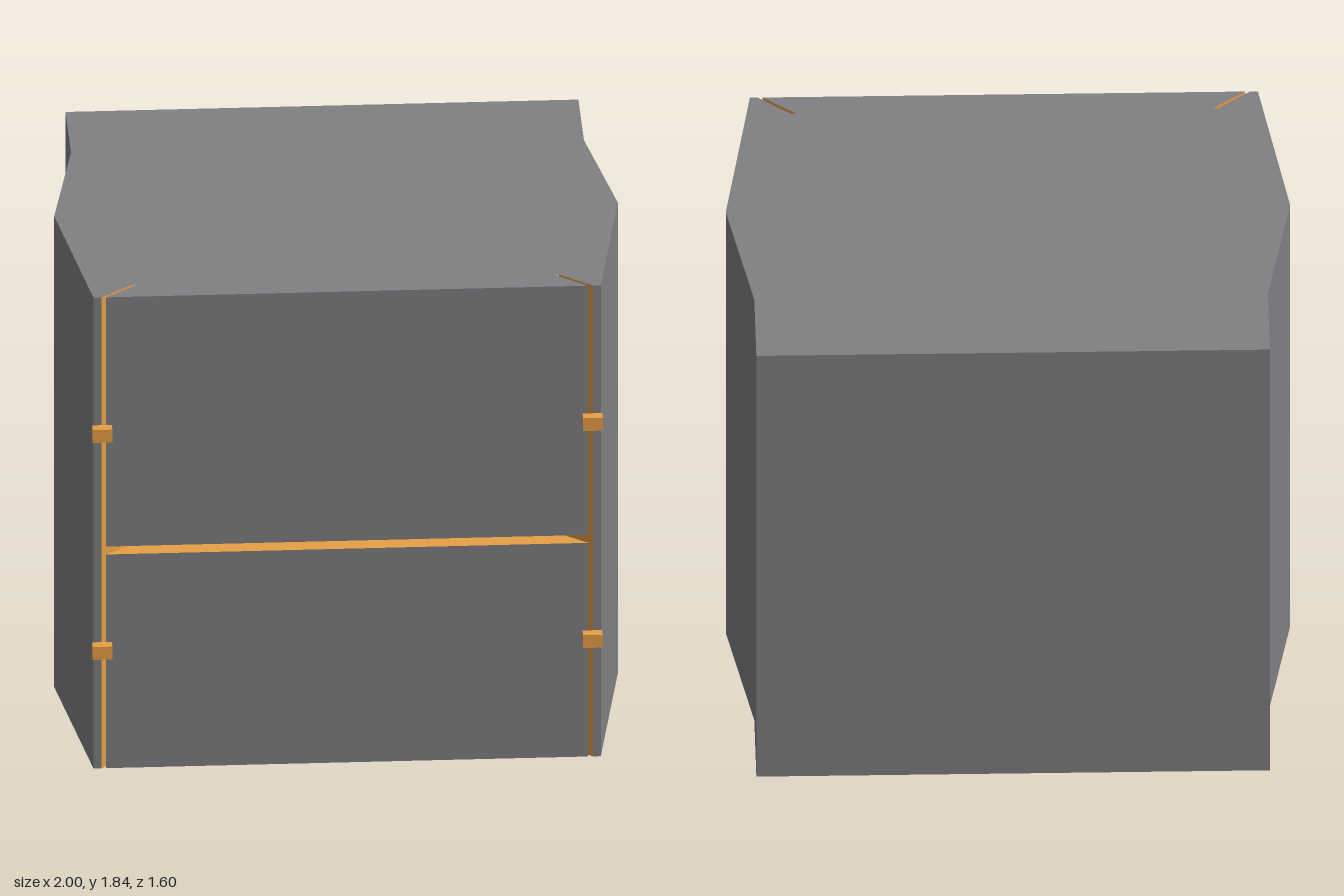
import * as THREE from 'three';

const H = 1.84, GAP_LOW = 0.835, GAP_HIGH = 0.866;
const FRONT = 0.76, RECESS = 0.66, BACK = -0.8;

const grey = new THREE.MeshStandardMaterial({ color: 0x808084 });
const orange = new THREE.MeshStandardMaterial({ color: 0xe8a045 });
const pale = new THREE.MeshStandardMaterial({ color: 0xcccccc });
const materials = [grey, orange, pale];

// Mirrors a half outline of [x, z] points, listed from the back to the front centre
const mirrored = half => [...half, ...half.map(([x, z]) => [-x, z]).reverse()];

// Upright prism from y0 to y1; pick(normal, centre) chooses the material of each triangle
function prism(name, outline, y0, y1, pick) {
  const shape = new THREE.Shape(outline.map(([x, z]) => new THREE.Vector2(x, -z)));
  const geo = new THREE.ExtrudeGeometry(shape, { depth: y1 - y0, bevelEnabled: false });
  geo.rotateX(-Math.PI / 2).translate(0, y0, 0);
  geo.clearGroups();
  const pos = geo.attributes.position, tri = new THREE.Triangle();
  const n = new THREE.Vector3(), c = new THREE.Vector3();
  for (let i = 0; i < pos.count; i += 3) {
    tri.setFromAttributeAndIndices(pos, i, i + 1, i + 2);
    tri.getNormal(n);
    tri.getMidpoint(c);
    geo.addGroup(i, 3, pick(n, c));
  }
  const mesh = new THREE.Mesh(geo, materials);
  mesh.name = name;
  return mesh;
}

function box(name, w, h, d, x, y, z, material) {
  const mesh = new THREE.Mesh(new THREE.BoxGeometry(w, h, d), material);
  mesh.position.set(x, y, z);
  mesh.name = name;
  return mesh;
}

export function createModel() {
  const model = new THREE.Group();
  model.name = 'cabinet';

  // Casing with bulging sides and slanted door jambs
  const side = [[0.91, BACK], [0.91, -0.46], [1, 0.07], [0.9, FRONT], [0.872, FRONT], [0.757, RECESS]];
  const solid = mirrored(side);
  const hollow = mirrored([...side, [0.65, RECESS], [0.65, -0.7]]);
  const casingPaint = (n, c) => {
    if (c.z > RECESS + 0.01 && n.z > 0.5 && n.z < 0.95) return 1; // jamb
    if (n.z > 0.95 && c.z < RECESS + 0.01) return 2;              // recessed frame
    return 0;
  };
  model.add(
    prism('casingFloor', solid, 0, 0.1, casingPaint),
    prism('casingWalls', hollow, 0.1, H - 0.1, casingPaint),
    prism('casingTop', solid, H - 0.1, H, casingPaint),
    box('shelf', 1.3, 0.014, RECESS + 0.7 - 0.02, 0, 0.849, (RECESS - 0.7) / 2 - 0.01, grey)
  );

  // Two doors with bevelled, coloured edges
  const doorOutline = mirrored([[0.737, RECESS], [0.855, FRONT]]);
  const doorPaint = (n, c) => {
    const facesGap = Math.abs(n.y) > 0.9 && c.y > 0.1 && c.y < H - 0.1;
    return facesGap || Math.abs(n.x) > 0.1 ? 1 : 0;
  };
  model.add(
    prism('lowerDoor', doorOutline, 0, GAP_LOW, doorPaint),
    prism('upperDoor', doorOutline, GAP_HIGH, H, doorPaint)
  );

  // Hinge blocks bridging the slits
  for (const x of [-0.87, 0.87]) {
    for (const y of [0.468, 1.316]) {
      model.add(box('hinge', 0.07, 0.05, 0.04, x, y, FRONT + 0.02, orange));
    }
  }
  return model;
}
